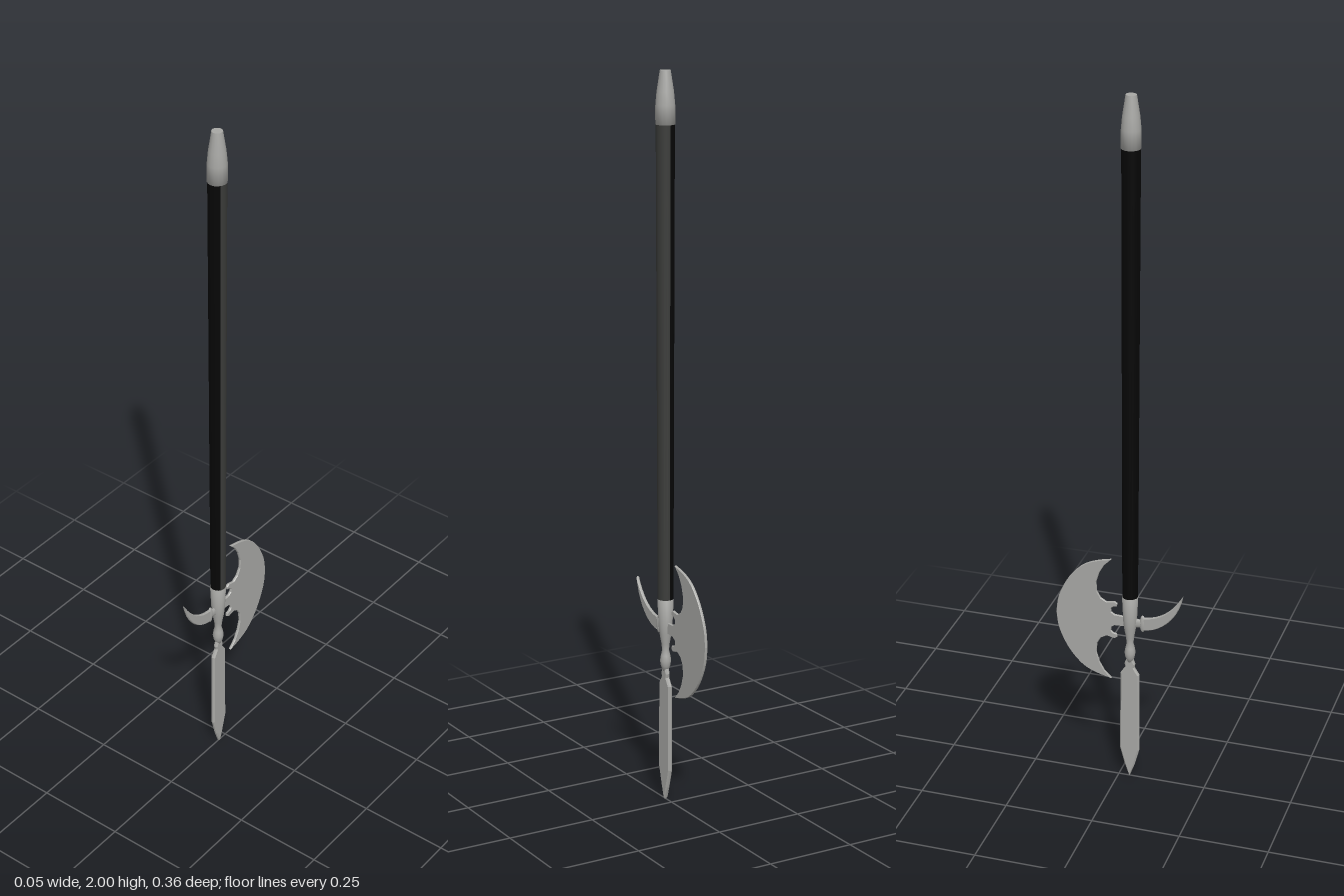
import * as THREE from 'three';

const AXIS = 0.032; // z of the pole's centre line
const MID = 0.497; // height of the axe's line of symmetry

export function createModel() {
  const group = new THREE.Group();
  const mat = (name, color) => {
    const m = new THREE.MeshStandardMaterial({ color });
    m.name = name;
    return m;
  };
  const steel = mat('steel', 0xa8a8a5);
  const grey = mat('dark grey wood', 0x3a3b39);
  const black = mat('black wood', 0x060606);

  const add = (name, geometry, material, x = 0, y = 0, z = 0) => {
    const mesh = new THREE.Mesh(geometry, material);
    mesh.name = name;
    mesh.position.set(x, y, z);
    group.add(mesh);
    return mesh;
  };
  const turned = (pts) => new THREE.LatheGeometry(pts.map(([r, y]) => new THREE.Vector2(r, y)), 16);

  // Bevelled plate in the z-y plane, centred on x = 0
  const plate = (shape, thickness, bevel) => {
    const core = thickness * 0.4;
    const g = new THREE.ExtrudeGeometry(shape, {
      depth: core, bevelEnabled: true, bevelThickness: (thickness - core) / 2,
      bevelSize: bevel, bevelOffset: -bevel, bevelSegments: 1, curveSegments: 10,
    });
    g.translate(0, 0, -core / 2);
    g.rotateY(-Math.PI / 2);
    return g;
  };

  // Pole in two tones, split lengthwise
  const pole = (name, material, start, end) => {
    const rad = Math.PI / 180;
    const g = new THREE.CylinderGeometry(0.025, 0.0215, 1.29, Math.round((end - start) / 20), 1, true,
      start * rad, (end - start) * rad);
    add(name, g, material, 0, 1.217, AXIS);
  };
  pole('poleGreySide', grey, 57, 182);
  pole('poleBlackSide', black, 182, 417);

  // Butt cap
  add('buttCap', turned([[0, 1.86], [0.0262, 1.86], [0.0262, 1.91], [0.023, 1.945], [0.0145, 2]]), steel, 0, 0, AXIS);
  const end = new THREE.CircleGeometry(0.0145, 16).rotateX(-Math.PI / 2);
  add('buttCapEnd', end, steel, 0, 2, AXIS);

  // Socket with a turned knob below it
  add('socket', turned([
    [0, 0.37], [0.007, 0.372], [0.013, 0.387], [0.0155, 0.402], [0.013, 0.417], [0.0095, 0.432],
    [0.0115, 0.45], [0.0165, 0.478], [0.019, 0.5], [0.0225, 0.577], [0, 0.577],
  ]), steel, 0, 0, AXIS);

  // Spear blade, pointing down
  const half = [[0.008, 0.385], [0.015, 0.366], [0.013, 0.355], [0.027, 0.333], [0.028, 0.09], [0.014, 0.038]];
  const spear = new THREE.Shape([
    ...half.map(([w, y]) => new THREE.Vector2(-w, y)),
    new THREE.Vector2(0, 0),
    ...half.slice().reverse().map(([w, y]) => new THREE.Vector2(w, y)),
  ]);
  add('spearBlade', plate(spear, 0.013, 0.004), steel, 0, 0, AXIS);

  // Crescent axe blade: upper outline mirrored about its middle
  const edge = new THREE.CatmullRomCurve3([
    [-0.181, 0], [-0.175, 0.045], [-0.157, 0.09], [-0.135, 0.125], [-0.1, 0.16], [-0.06, 0.178], [-0.021, 0.187],
  ].map(([z, y]) => new THREE.Vector3(z, y, 0))).getPoints(16);
  const inner = [
    [-0.042, 0.165], [-0.056, 0.14], [-0.065, 0.11], [-0.063, 0.082], [-0.052, 0.063], [-0.035, 0.053],
    [-0.012, 0.058], [-0.004, 0.052], [-0.006, 0.043], [-0.016, 0.041], [-0.023, 0.034], [-0.022, 0.024],
    [-0.012, 0.017], [0.025, 0.015],
  ].map(([z, y]) => new THREE.Vector2(z, y));
  const upper = [...edge.map((p) => new THREE.Vector2(p.x, p.y)), ...inner];
  const lower = upper.slice(1).reverse().map((p) => new THREE.Vector2(p.x, -p.y));
  add('axeBlade', plate(new THREE.Shape([...upper, ...lower]), 0.008, 0.0015), steel, 0, MID, 0);

  // Curved beak opposite the axe
  const beak = new THREE.Shape();
  beak.moveTo(0.07, 0.478);
  beak.bezierCurveTo(0.115, 0.478, 0.172, 0.525, 0.183, 0.602);
  beak.bezierCurveTo(0.163, 0.568, 0.135, 0.522, 0.07, 0.516);
  beak.closePath();
  add('beak', plate(beak, 0.009, 0.002), steel);

  // Beak neck and collar
  const neck = new THREE.CylinderGeometry(0.011, 0.015, 0.03, 10).rotateX(Math.PI / 2);
  add('beakNeck', neck, steel, 0, MID, 0.058).scale.x = 0.35;
  const collar = new THREE.SphereGeometry(0.01, 12, 8);
  add('beakCollar', collar, steel, 0, MID, 0.068).scale.set(0.6, 2.6, 0.85);

  return group;
}
